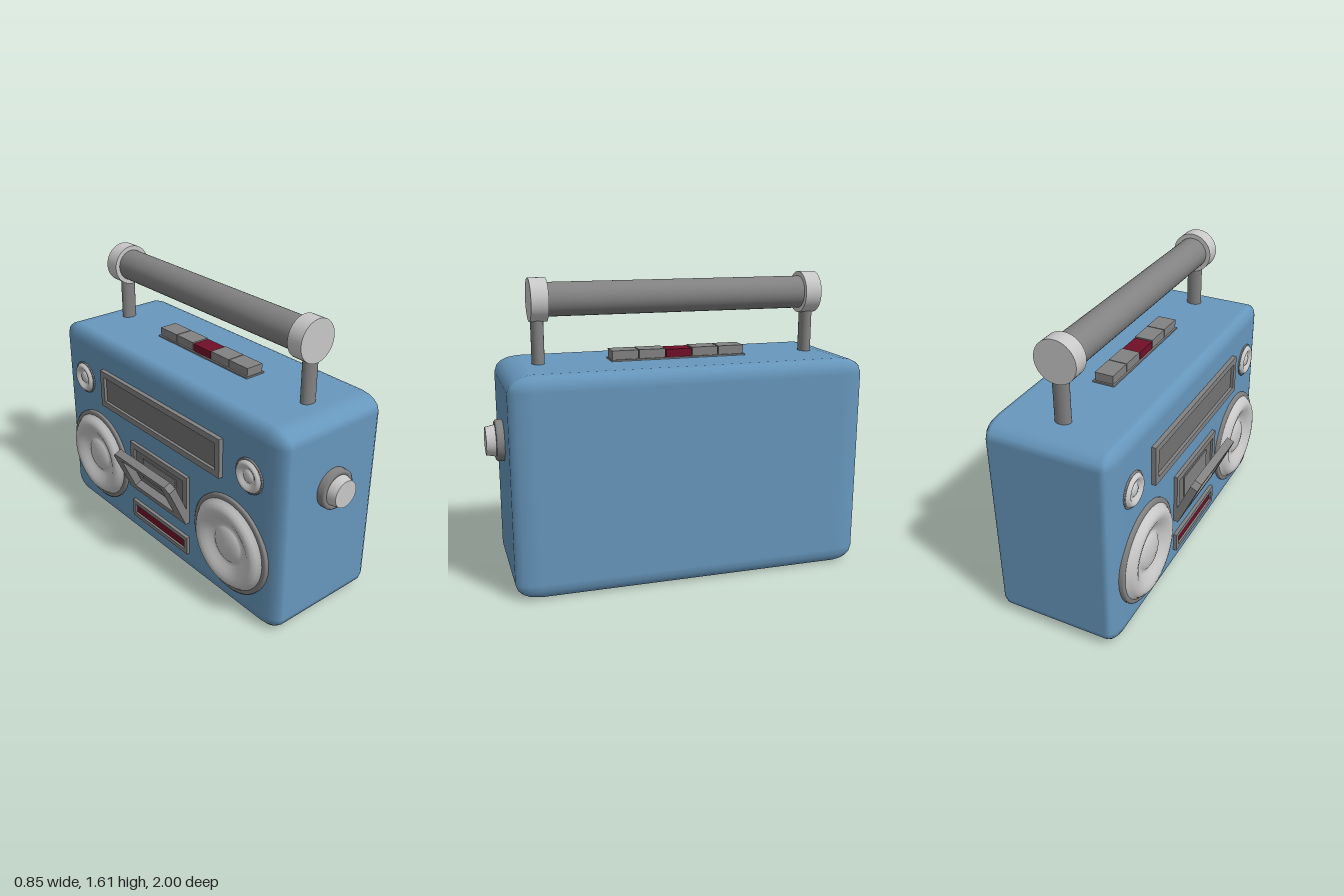
import * as THREE from 'three';
import { RoundedBoxGeometry } from 'three/addons/geometries/RoundedBoxGeometry.js';

const material = (name, color) => Object.assign(new THREE.MeshStandardMaterial({ color }), { name });

export function createModel() {
  const blue = material('blue shell', 0x6797bd);
  const grey = material('grey trim', 0x828282);
  const dark = material('dark panel', 0x727272);
  const light = material('light grey', 0xc8c8c8);
  const red = material('crimson', 0x700f28);

  const model = new THREE.Group();
  model.name = 'portableStereo';
  const MID = -0.045;  // z of the body's middle
  const FACE = -0.28;  // x of the speaker side

  function add(name, geometry, mat, x = 0, y = 0, z = 0, parent = model) {
    const mesh = new THREE.Mesh(geometry, mat);
    mesh.name = name;
    mesh.position.set(x, y, z);
    parent.add(mesh);
    return mesh;
  }
  const box = (x, y, z) => new THREE.BoxGeometry(x, y, z);
  const rodZ = (rFront, rBack, length) =>
    new THREE.CylinderGeometry(rFront, rBack, length, 40).rotateX(Math.PI / 2);

  // Rectangular frame standing in the z-y plane, growing towards -x
  function frame(w, h, side, bottom, top, depth, cut = 0) {
    const a = w / 2;
    const shape = new THREE.Shape([[-a, 0], [a, 0], [a, h - cut], [a - cut, h], [cut - a, h], [-a, h - cut]]
      .map(p => new THREE.Vector2(...p)));
    const b = a - side;
    shape.holes.push(new THREE.Path([[-b, bottom], [-b, h - top], [b, h - top], [b, bottom]]
      .map(p => new THREE.Vector2(...p))));
    return new THREE.ExtrudeGeometry(shape, { depth, bevelEnabled: false }).rotateY(-Math.PI / 2);
  }

  // Body: rounded more strongly along its length
  const shell = new RoundedBoxGeometry(0.7 / 0.65, 1.17, 1.91 / 1.5, 2, 0.085);
  shell.scale(0.65, 1, 1.5);
  add('body', shell, blue, 0.07, 0.585, MID);

  // Carrying handle
  add('handleGrip', rodZ(0.088, 0.088, 1.45), grey, 0.07, 1.5, MID);
  for (const s of [-1, 1]) {
    add('handleCap', rodZ(0.113, 0.113, 0.09), light, 0.07, 1.5, MID + s * 0.75);
    const post = new THREE.CylinderGeometry(0.043, 0.043, 0.32, 28).scale(1, 1, 0.78);
    add('handlePost', post, grey, 0.07, 1.29, MID + s * 0.755);
  }

  // Key row on the top
  add('keyBase', box(0.125, 0.02, 0.75), grey, 0.07, 1.168, MID + 0.003);
  for (let i = -2; i <= 2; i++) {
    const h = i ? 0.055 : 0.05;
    add(i ? 'key' : 'recordKey', box(0.105, h, 0.143), i ? grey : red, 0.07, 1.17 + h / 2, MID + 0.005 + i * 0.148);
  }

  // Tuning knob on the end
  const collar = new THREE.LatheGeometry([[0.11, -0.02], [0.11, 0.035], [0.1, 0.043], [0.085, 0.043], [0.078, 0.03], [0, 0.03]]
    .map(p => new THREE.Vector2(...p)), 40).rotateX(Math.PI / 2);
  add('knobCollar', collar, grey, 0.07, 0.775, 0.908);
  add('knob', rodZ(0.074, 0.085, 0.055), light, 0.07, 0.775, 0.9725);

  // Speakers and tweeters share one cone profile
  const cone = [[0.98, 0.006], [0.9, 0.02], [0.85, 0.038], [0.79, 0.052], [0.72, 0.056], [0.64, 0.051],
    [0.54, 0.036], [0.44, 0.02], [0.38, 0.016], [0.35, 0.024], [0.28, 0.035], [0.15, 0.043], [0, 0.046]];
  function speaker(name, r, depth, y, z) {
    const group = new THREE.Group();
    group.name = name;
    group.position.set(FACE, y, z);
    model.add(group);
    const rim = [[1, -0.01], [1, 0.012], [0.97, 0.018], [0.9, 0.018]];
    const lathe = points => new THREE.LatheGeometry(
      points.map(([a, h]) => new THREE.Vector2(a * r, h * depth)), 40).rotateZ(Math.PI / 2);
    add(name + 'Rim', lathe(rim), grey, 0, 0, 0, group);
    add(name + 'Cone', lathe(cone), light, 0, 0, 0, group);
  }
  for (const s of [-1, 1]) {
    speaker('speaker', 0.283, 1, 0.395, MID + s * 0.6);
    speaker('tweeter', 0.097, 0.45, 0.868, MID + s * 0.73);
  }

  // Tuning scale
  add('tuningFrame', frame(1.06, 0.225, 0.035, 0.035, 0.035, 0.035), grey, FACE + 0.01, 0.765, MID);
  add('tuningScale', box(0.008, 0.165, 1.0), dark, FACE - 0.004, 0.877, MID);

  // Small red display
  add('displayFrame', frame(0.515, 0.11, 0.025, 0.025, 0.025, 0.03), grey, FACE + 0.01, 0.13, MID);
  add('display', box(0.008, 0.07, 0.475), red, FACE - 0.004, 0.185, MID);

  // Tape deck with its open, tilted door
  add('deckFrame', frame(0.52, 0.295, 0.035, 0.035, 0.035, 0.03), grey, FACE + 0.01, 0.34, MID);
  add('deckFloor', box(0.008, 0.24, 0.46), dark, FACE - 0.003, 0.487, MID);
  add('deckPlate', box(0.008, 0.13, 0.3), grey, FACE - 0.009, 0.5, MID);
  const door = add('deckDoor', frame(0.52, 0.3, 0.08, 0.055, 0.035, 0.045, 0.03), grey, -0.265, 0.355, MID);
  door.rotation.z = THREE.MathUtils.degToRad(24);

  return model;
}
